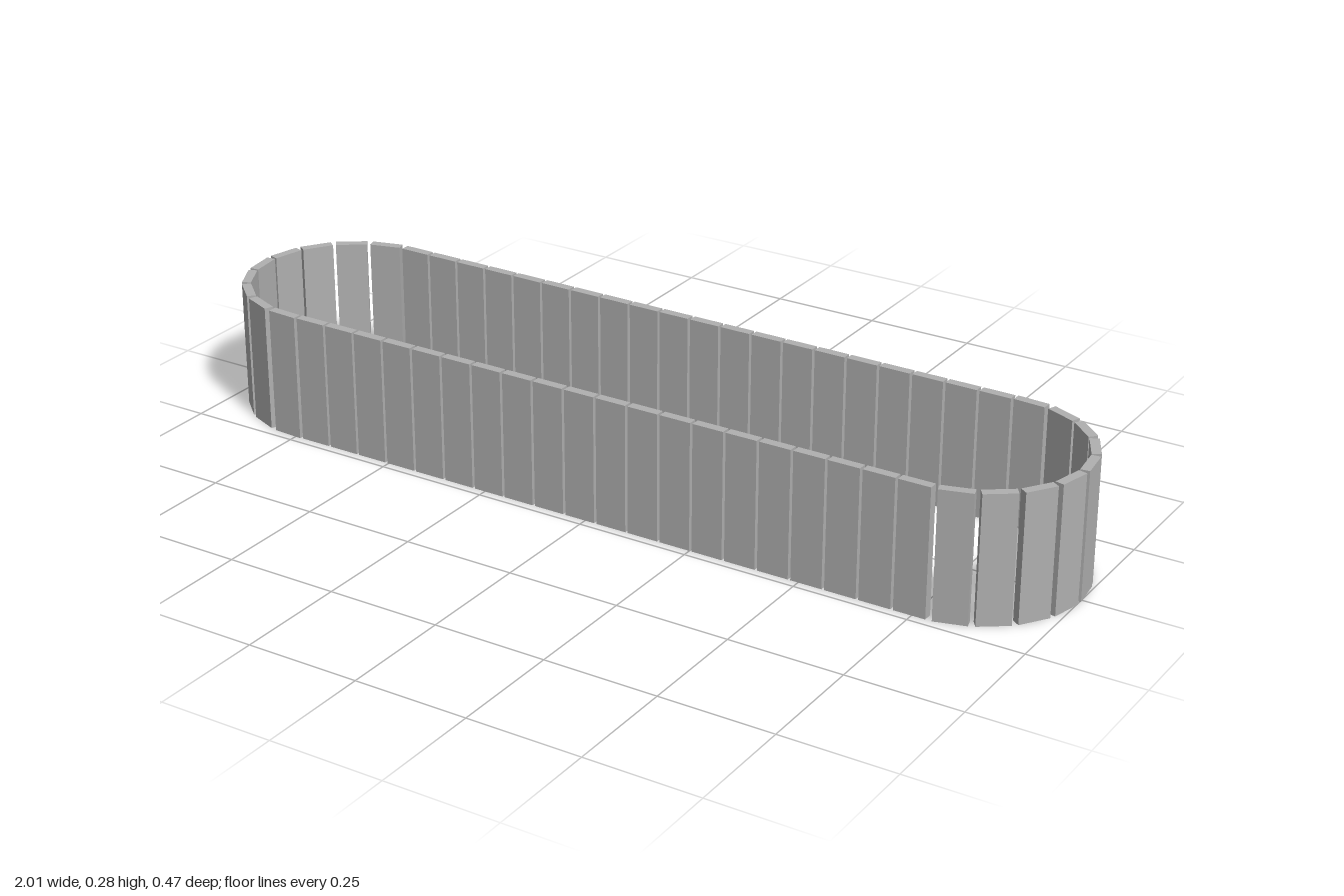
import * as THREE from 'three';

const HEIGHT = 0.282, LENGTH = 0.07, THICK = 0.02;
const STRAIGHT = 0.758;            // half length of the straight runs
const CAP_X = 0.232, CAP_Z = 0.221; // radii of the rounded ends
const RUN = 21, CAP = 8;           // links per straight run and per end

export function createModel() {
  const model = new THREE.Group();
  model.name = 'trackLoop';
  const steel = new THREE.MeshStandardMaterial({ color: 0xb0b0b0 });
  steel.name = 'grey steel';
  const plate = new THREE.BoxGeometry(LENGTH, HEIGHT, THICK);

  // One flat link whose outer face is turned by angle about the vertical
  function addLink(parent, name, x, z, angle) {
    const link = new THREE.Mesh(plate, steel);
    link.name = name;
    link.position.set(x, HEIGHT / 2, z);
    link.rotation.y = angle;
    parent.add(link);
  }

  // Point on the rounded end, t measured from the front
  function addCapLink(parent, name, t) {
    addLink(parent, name, STRAIGHT + CAP_X * Math.sin(t), CAP_Z * Math.cos(t),
      Math.atan2(Math.sin(t) / CAP_X, Math.cos(t) / CAP_Z));
  }

  // Half of the loop: one straight run and one rounded end
  function makeHalf(name) {
    const half = new THREE.Group();
    half.name = name;
    const first = -0.771, pitch = 0.0758;
    for (let i = 0; i < RUN; i++) {
      const x = first + i * pitch;
      const tilt = x < -STRAIGHT ? Math.asin((x + STRAIGHT) / CAP_X) : 0;
      addLink(half, 'straightLink', x, CAP_Z * Math.cos(tilt), tilt);
    }
    const start = -0.057, step = 0.349;
    for (let k = 1; k <= CAP; k++) addCapLink(half, 'endLink', start + k * step);
    return half;
  }

  const front = makeHalf('frontHalf');
  const back = makeHalf('backHalf');
  back.rotation.y = Math.PI;
  model.add(front, back);
  return model;
}
